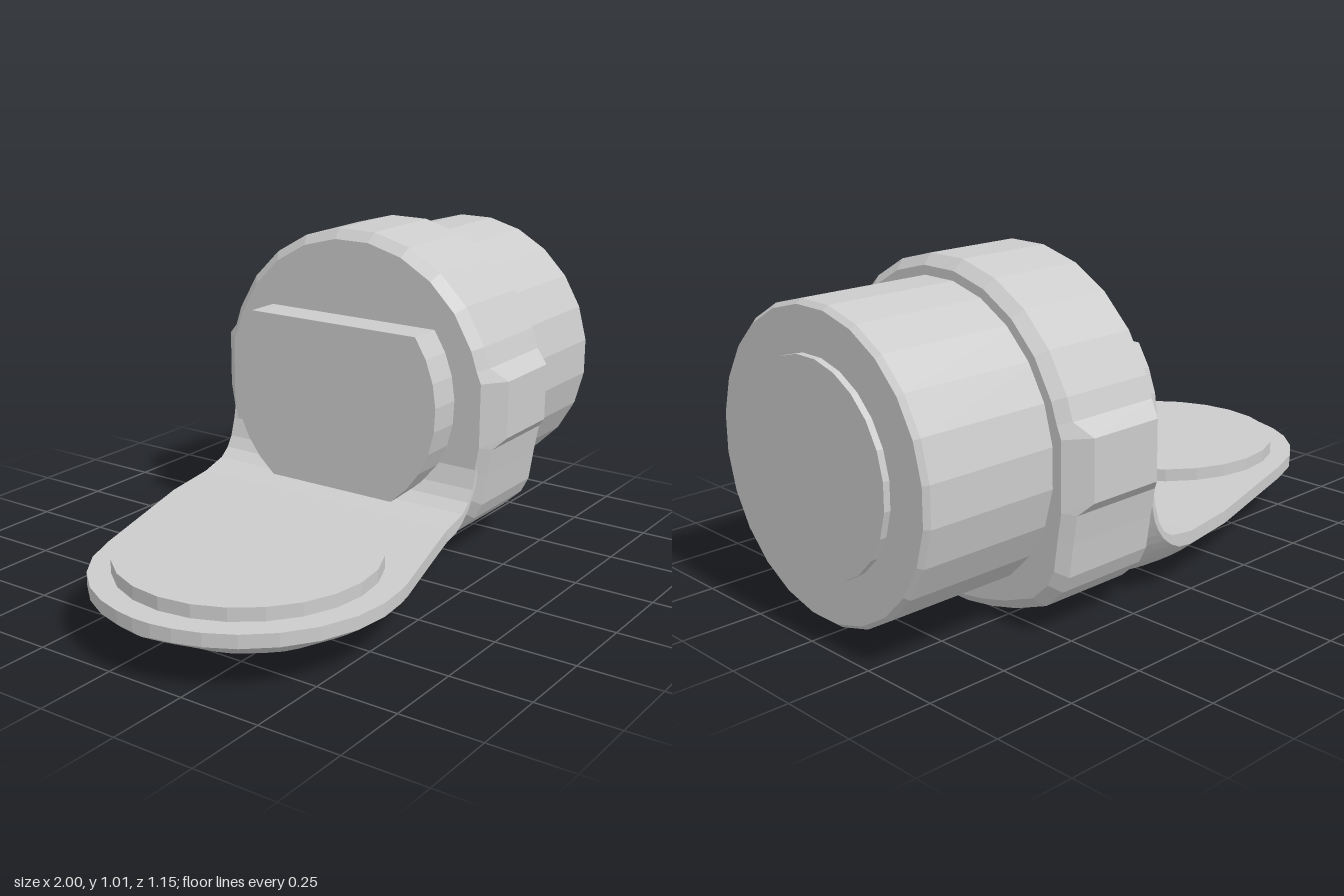
import * as THREE from 'three';

const material = new THREE.MeshStandardMaterial({ color: 0xcccccc, flatShading: true });
const AXIS_Y = 0.51, AXIS_Z = -0.0375, SIDES = 24;

function addMesh(group, name, geometry) {
  const mesh = new THREE.Mesh(geometry, material);
  mesh.name = name;
  group.add(mesh);
  return mesh;
}

// Skin closed rings of [x, y, z] points running along +x, with capped ends
function loft(rings) {
  const n = rings[0].length, last = (rings.length - 1) * n, index = [];
  for (let i = 0; i < rings.length - 1; i++) {
    for (let j = 0; j < n; j++) {
      const a = i * n + j, b = i * n + (j + 1) % n, c = b + n, d = a + n;
      index.push(a, c, b, a, d, c);
    }
  }
  for (let j = 1; j < n - 1; j++) {
    index.push(0, j, j + 1, last, last + j + 1, last + j);
  }
  const geometry = new THREE.BufferGeometry();
  geometry.setAttribute('position', new THREE.Float32BufferAttribute(rings.flat(2), 3));
  geometry.setIndex(index);
  geometry.computeVertexNormals();
  return geometry;
}

// Piecewise linear lookup in a list of [x, value]
function lookup(list, x) {
  for (let i = 1; i < list.length; i++) {
    const [x0, v0] = list[i - 1], [x1, v1] = list[i];
    if (x <= x1) return v0 + (v1 - v0) * Math.max(0, (x - x0) / (x1 - x0));
  }
  return list[list.length - 1][1];
}

// Tongue-shaped base: round end, boat-like underside, fillet up to the collar
function baseGeometry() {
  const cx = -0.545, cz = 0.12, r = 0.455;
  const back = [[-0.65, -0.324], [-0.2, -0.46], [0, -0.495], [0.18, -0.518], [0.3, -0.52]];
  const front = [[-0.45, 0.565], [-0.4, 0.555], [-0.2, 0.497], [0, 0.44], [0.18, 0.43], [0.3, 0.43]];
  const top = [[0, 0.185], [0.1, 0.203], [0.14, 0.228], [0.165, 0.262], [0.185, 0.32], [0.2, 0.4]];
  const rim = [[0, 0.145], [0.06, 0.155], [0.1, 0.175], [0.14, 0.205], [0.165, 0.235], [0.185, 0.27], [0.2, 0.33]];
  const keel = [[-1, 0.14], [-0.95, 0.118], [-0.85, 0.065], [-0.75, 0.03], [-0.6, 0.01], [0, 0.005]];
  const stations = [-1, -0.99, -0.965, -0.92, -0.85, -0.76, -0.65, -0.545, -0.45, -0.4, -0.2,
    0, 0.06, 0.1, 0.14, 0.165, 0.185, 0.2, 0.22];
  const steps = 16;
  return loft(stations.map((x) => {
    const half = Math.sqrt(Math.max(0.0009, r * r - (x - cx) ** 2));
    const zb = x < -0.65 ? cz - half : lookup(back, x);
    const zf = x < -0.45 ? cz + half : lookup(front, x);
    const yTop = lookup(top, x), yRim = lookup(rim, x), yKeel = lookup(keel, x);
    const power = 2.4 + 0.8 * THREE.MathUtils.clamp((x + 0.4) / 0.5, 0, 1);
    const ring = [[x, yTop, zf], [x, yTop, zb]];
    for (let i = 0; i <= steps; i++) {
      const s = -Math.cos(Math.PI * i / steps);
      const y = yKeel + (yRim - yKeel) * Math.abs(s) ** power;
      ring.push([x, y, (zb + zf) / 2 + s * (zf - zb) / 2]);
    }
    return ring;
  }));
}

// Chamfered collar with a flat lug on each side and a flattened lower half
function collarGeometry() {
  const half = [];
  for (let i = 0; i < 5; i++) {
    const a = (i + 0.5) * 2 * Math.PI / SIDES;
    half.push([0.505 * Math.sin(a), AXIS_Y + 0.505 * Math.cos(a)]);
  }
  half.push([0.488, 0.64], [0.5375, 0.6], [0.5375, 0.42], [0.505, 0.385], [0.49, 0.3], [0.475, 0.2],
    [0.45, 0.15], [0.385, 0.09], [0.265, 0.045], [0.165, 0.02], [0.06, 0.005]);
  const outline = [
    ...half.map(([w, y]) => [-w, y]),
    ...half.slice().reverse(),
  ];
  const inner = (x) => outline.map(([w, y]) => [
    x, AXIS_Y + (y - AXIS_Y) * 0.94, AXIS_Z + THREE.MathUtils.clamp(w, -0.505, 0.505) * 0.94]);
  const outer = (x, lugX) => outline.map(([w, y]) => [Math.abs(w) > 0.51 ? lugX : x, y, AXIS_Z + w]);
  return loft([inner(0.185), outer(0.215, 0.245), outer(0.52, 0.49), inner(0.55)]);
}

// Solid of revolution around the barrel axis, profile in [radius, x]
function turned(profile) {
  const points = profile.map(([r, x]) => new THREE.Vector2(r, x));
  const geometry = new THREE.LatheGeometry(points, SIDES, Math.PI / SIDES);
  geometry.rotateZ(-Math.PI / 2);
  geometry.translate(0, AXIS_Y, AXIS_Z);
  return geometry;
}

// Round boss cut flat at the top and bottom
function bossGeometry() {
  const r = 0.385, up = 0.23, down = 0.31;
  const a = Math.asin(up / r), b = Math.asin(down / r);
  const shape = new THREE.Shape();
  for (let i = 0; i <= 8; i++) {
    const t = -b + (a + b) * i / 8;
    shape[i ? 'lineTo' : 'moveTo'](r * Math.cos(t), r * Math.sin(t));
  }
  for (let i = 8; i >= 0; i--) {
    const t = -b + (a + b) * i / 8;
    shape.lineTo(-r * Math.cos(t), r * Math.sin(t));
  }
  const geometry = new THREE.ExtrudeGeometry(shape, { depth: 0.13, bevelEnabled: false });
  geometry.rotateY(Math.PI / 2);
  geometry.translate(0.073, AXIS_Y, AXIS_Z);
  return geometry;
}

export function createModel() {
  const model = new THREE.Group();
  model.name = 'angledHousing';

  addMesh(model, 'base', baseGeometry());
  addMesh(model, 'collar', collarGeometry());
  addMesh(model, 'boss', bossGeometry());
  addMesh(model, 'barrel', turned([[0, 0.5], [0.447, 0.5], [0.447, 0.965], [0.434, 0.98], [0, 0.98]]));
  addMesh(model, 'endDisc', turned([[0, 0.97], [0.307, 0.97], [0.307, 1], [0, 1]]));

  // Round pad on the base
  const pad = addMesh(model, 'pad', new THREE.CylinderGeometry(0.385, 0.385, 0.06, SIDES));
  pad.position.set(-0.543, 0.195, 0.115);

  return model;
}
